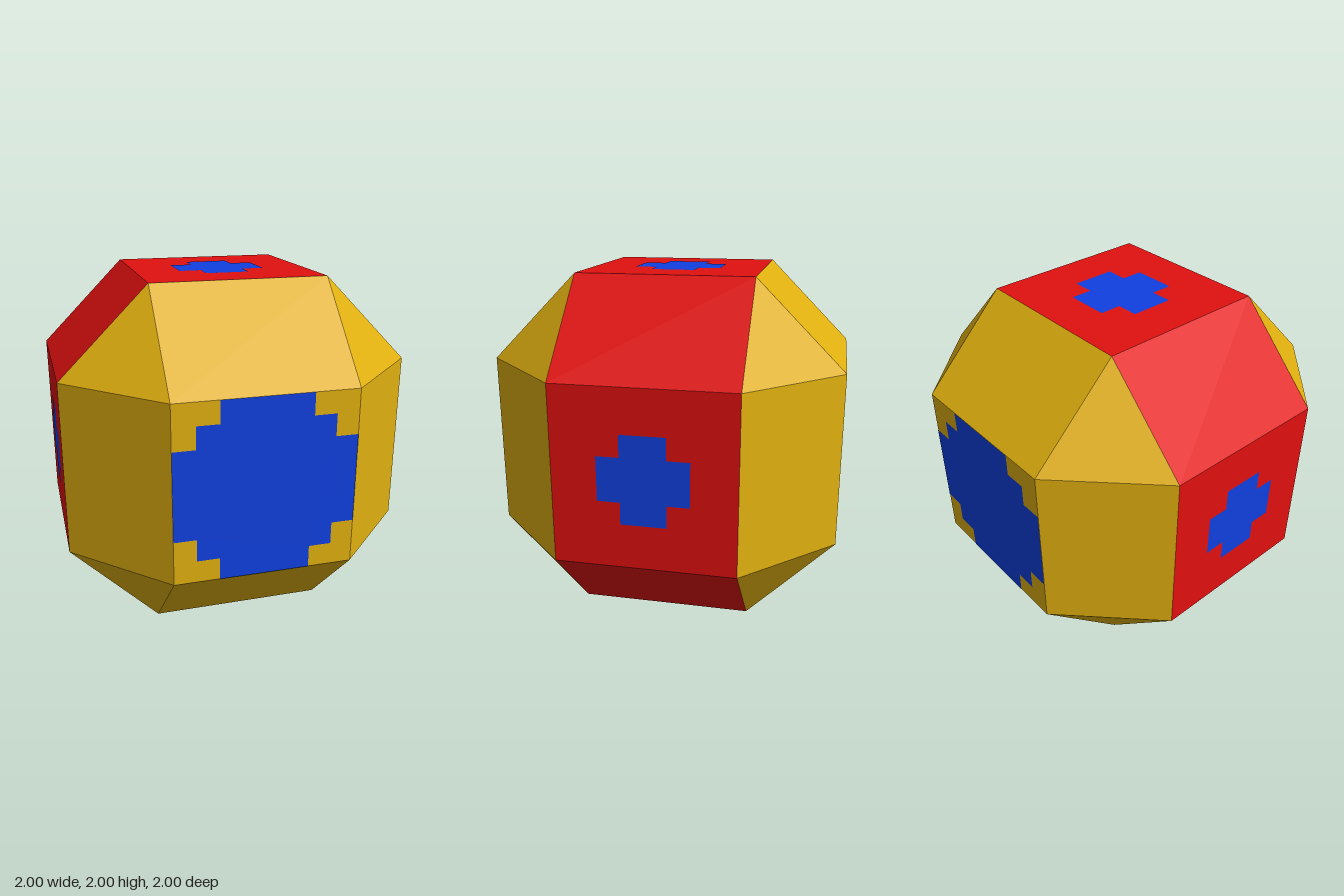
import * as THREE from 'three';

const HALF = 0.5; // half width of each square face
const OUT = 1; // distance of each square face from the centre
const CENTRE_Y = 1;

const yellow = new THREE.MeshStandardMaterial({ color: 0xe0b010 });
yellow.name = 'yellow';
const red = new THREE.MeshStandardMaterial({ color: 0xe01010 });
red.name = 'red';
const blue = new THREE.MeshStandardMaterial({ color: 0x1040e0 });
blue.name = 'blue';

// Flat-faced mesh from convex polygons, each turned to face away from the centre
function facetMesh(name, polygons, material) {
  const positions = [];
  for (const polygon of polygons) {
    for (let i = 1; i < polygon.length - 1; i++) {
      const [a, b, c] = [polygon[0], polygon[i], polygon[i + 1]].map((p) => new THREE.Vector3(...p));
      const normal = b.clone().sub(a).cross(c.clone().sub(a));
      const corners = normal.dot(a) > 0 ? [a, b, c] : [a, c, b];
      corners.forEach((v) => positions.push(v.x, v.y, v.z));
    }
  }
  const geometry = new THREE.BufferGeometry();
  geometry.setAttribute('position', new THREE.Float32BufferAttribute(positions, 3));
  geometry.computeVertexNormals();
  const mesh = new THREE.Mesh(geometry, material);
  mesh.name = name;
  return mesh;
}

// Stepped disc outline: one quadrant of corners, turned through four quarters
function steppedShape(quadrant) {
  const points = [];
  for (let q = 0; q < 4; q++) {
    for (const [x, y] of quadrant) {
      points.push(new THREE.Vector2(x, y).rotateAround(new THREE.Vector2(), (q * Math.PI) / 2));
    }
  }
  return new THREE.Shape(points);
}

// Thin painted marking just above a square face
function marking(name, shape, rotationX, rotationY) {
  const geometry = new THREE.ShapeGeometry(shape);
  geometry.translate(0, 0, OUT + 0.002);
  const mesh = new THREE.Mesh(geometry, blue);
  mesh.rotation.set(rotationX, rotationY, 0);
  mesh.name = name;
  return mesh;
}

export function createModel() {
  const model = new THREE.Group();
  model.name = 'facetedBall';
  const ball = new THREE.Group();
  ball.name = 'ball';
  ball.position.y = CENTRE_Y;
  model.add(ball);

  // Octagonal outline of the band and the square outline of each end
  const octagon = [
    [OUT, -HALF], [OUT, HALF], [HALF, OUT], [-HALF, OUT],
    [-OUT, HALF], [-OUT, -HALF], [-HALF, -OUT], [HALF, -OUT],
  ];
  const square = octagon.map(([x, y]) => [Math.sign(x) * HALF, Math.sign(y) * HALF]);

  // Red band running around the middle
  const band = octagon.map(([x, y], i) => {
    const [x2, y2] = octagon[(i + 1) % 8];
    return [[x, y, HALF], [x2, y2, HALF], [x2, y2, -HALF], [x, y, -HALF]];
  });
  ball.add(facetMesh('redBand', band, red));

  // Yellow ends: alternating squares and triangles up to a flat square
  for (const side of [1, -1]) {
    const faces = [[1, 3, 5, 7].map((i) => [...square[i], side * OUT])];
    octagon.forEach((p, i) => {
      const j = (i + 1) % 8;
      const face = [[...p, side * HALF], [...octagon[j], side * HALF], [...square[j], side * OUT]];
      if (i % 2 === 0) face.push([...square[i], side * OUT]);
      faces.push(face);
    });
    ball.add(facetMesh(side > 0 ? 'frontEnd' : 'backEnd', faces, yellow));
  }

  // Large stepped discs on the ends
  const disc = steppedShape([
    [0.5, -0.25], [0.5, 0.25], [0.375, 0.25], [0.375, 0.375], [0.25, 0.375],
  ]);
  ball.add(marking('frontDisc', disc, 0, 0), marking('backDisc', disc, 0, Math.PI));

  // Small crosses on the four square faces of the band
  const cross = steppedShape([[0.25, -0.125], [0.25, 0.125], [0.125, 0.125]]);
  ball.add(
    marking('leftCross', cross, 0, Math.PI / 2),
    marking('rightCross', cross, 0, -Math.PI / 2),
    marking('topCross', cross, -Math.PI / 2, 0),
    marking('bottomCross', cross, Math.PI / 2, 0),
  );

  return model;
}
